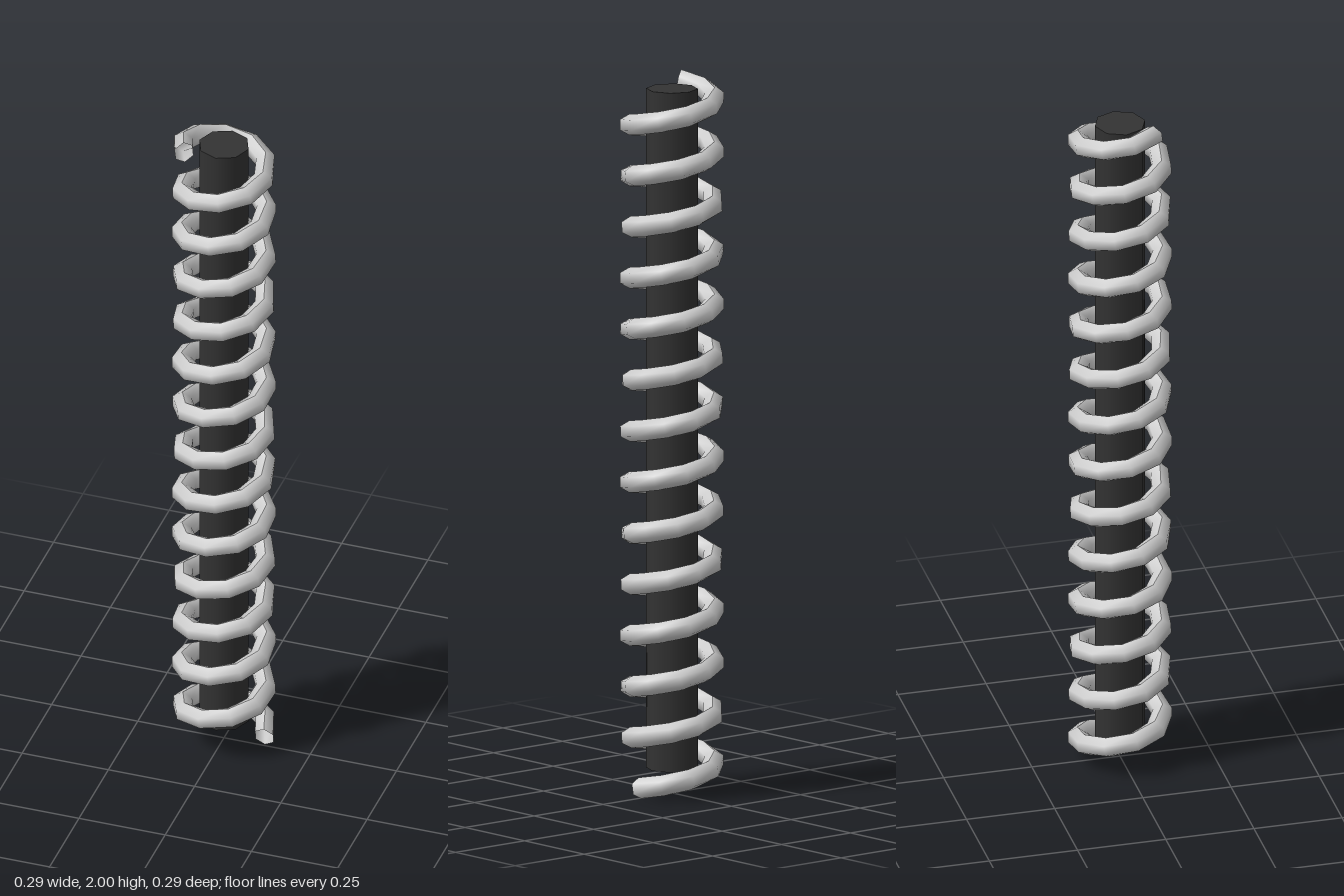
import * as THREE from 'three';

// Hexagonal wire swept along a rising helix
function coilGeometry({ radius, turns, y0, y1, steps, halfWidth, halfHeight, sides }) {
  const positions = [], index = [];
  const total = turns * Math.PI * 2;
  const rise = (y1 - y0) / total;
  const point = new THREE.Vector3();
  for (let i = 0; i <= steps; i++) {
    const a = (i / steps) * total;
    const out = new THREE.Vector3(Math.cos(a), 0, -Math.sin(a));
    const along = new THREE.Vector3(-Math.sin(a) * radius, rise, -Math.cos(a) * radius).normalize();
    const up = new THREE.Vector3().crossVectors(out, along);
    for (let j = 0; j <= sides; j++) {
      const p = (j / sides) * Math.PI * 2;
      point.set(0, y0 + rise * a, 0)
        .addScaledVector(out, radius + Math.sin(p) * halfWidth)
        .addScaledVector(up, Math.cos(p) * halfHeight);
      positions.push(point.x, point.y, point.z);
      if (i < steps && j < sides) {
        const k = i * (sides + 1) + j, n = k + sides + 1;
        index.push(k, k + 1, n, k + 1, n + 1, n);
      }
    }
  }
  const geometry = new THREE.BufferGeometry();
  geometry.setAttribute('position', new THREE.Float32BufferAttribute(positions, 3));
  geometry.setIndex(index);
  geometry.computeVertexNormals();
  return geometry;
}

export function createModel() {
  const group = new THREE.Group();
  group.name = 'coilSpringOnRod';

  // Dark octagonal rod
  const rod = new THREE.Mesh(
    new THREE.CylinderGeometry(0.071, 0.071, 1.9, 8),
    new THREE.MeshStandardMaterial({ color: 0x333333 })
  );
  rod.name = 'rod';
  rod.position.y = 1.02;
  group.add(rod);

  // Open-ended coil spring around the rod
  const spring = new THREE.Mesh(
    coilGeometry({
      radius: 0.117, turns: 13.61, y0: 0.028, y1: 1.972,
      steps: 132, halfWidth: 0.03, halfHeight: 0.029, sides: 6,
    }),
    new THREE.MeshStandardMaterial({ color: 0xcccccc, side: THREE.DoubleSide })
  );
  spring.name = 'spring';
  group.add(spring);

  return group;
}
